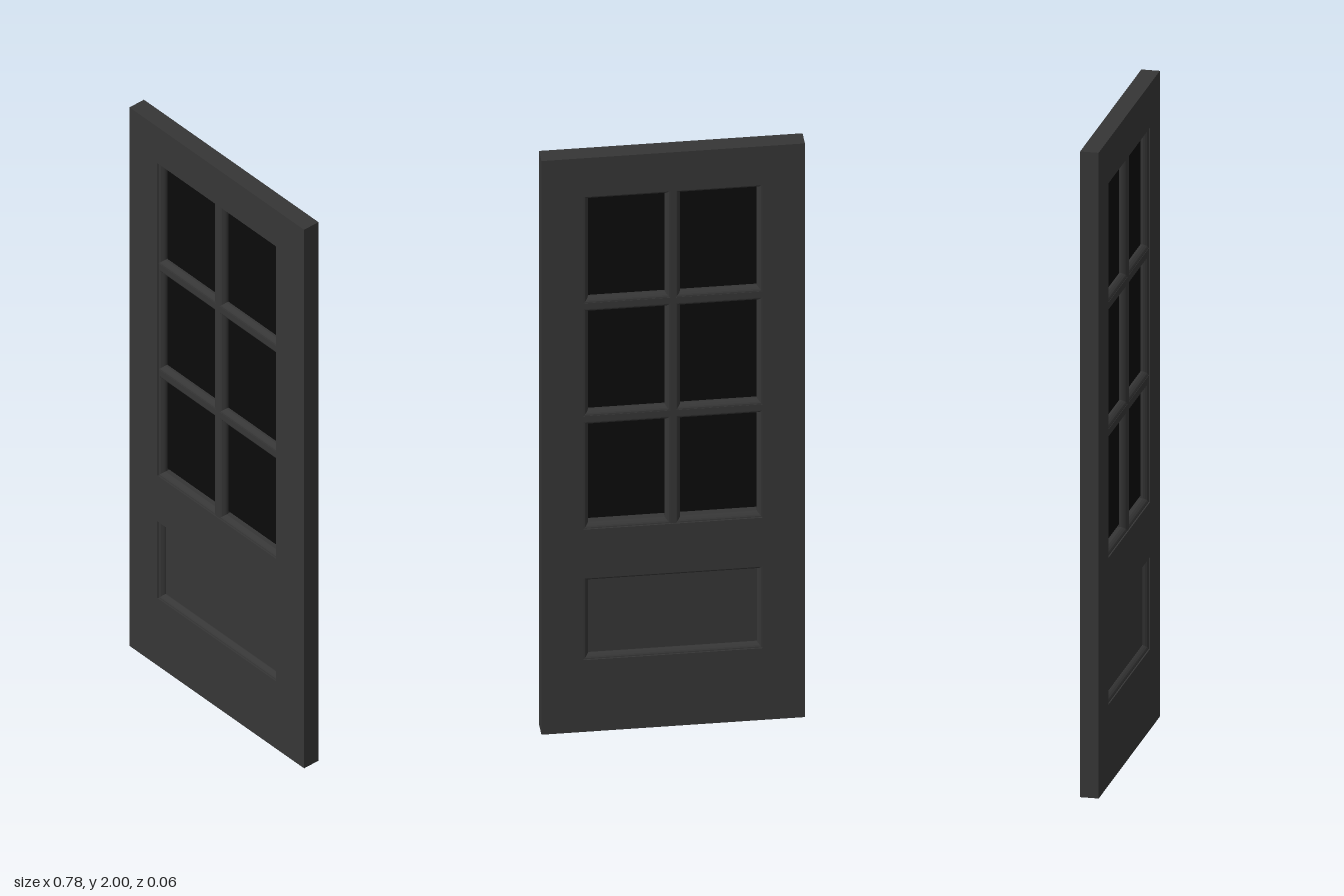
import * as THREE from 'three';

const HALF = 0.028; // half the door thickness

export function createModel() {
  const door = new THREE.Group();
  door.name = 'door';
  const paint = new THREE.MeshStandardMaterial({ color: 0x363636 });
  const dark = new THREE.MeshStandardMaterial({ color: 0x0a0a0a });

  // box given by its edges in x and y and its half depth
  const slab = (name, x0, x1, y0, y1, half = HALF, material = paint) => {
    const mesh = new THREE.Mesh(new THREE.BoxGeometry(x1 - x0, y1 - y0, half * 2), material);
    mesh.position.set((x0 + x1) / 2, (y0 + y1) / 2, 0);
    mesh.name = name;
    door.add(mesh);
  };

  // mitred moulding lining an opening: [inset, z] profile swept round a rectangle
  const profile = [[0, 0.024], [0.004, 0.0235], [0.008, 0.021], [0.012, 0.016], [0.015, 0.01]];
  const section = [...profile, ...profile.map(([i, z]) => [i, -z]).reverse()];
  const moulding = (name, x0, x1, y0, y1) => {
    const corners = ([i, z]) => [
      [x0 + i, y0 + i, z], [x1 - i, y0 + i, z], [x1 - i, y1 - i, z], [x0 + i, y1 - i, z],
    ];
    const positions = [];
    for (let s = 0; s < section.length - 1; s++) {
      const a = corners(section[s]);
      const b = corners(section[s + 1]);
      for (let k = 0; k < 4; k++) {
        const n = (k + 1) % 4;
        positions.push(...a[k], ...a[n], ...b[n], ...a[k], ...b[n], ...b[k]);
      }
    }
    const geometry = new THREE.BufferGeometry();
    geometry.setAttribute('position', new THREE.Float32BufferAttribute(positions, 3));
    geometry.computeVertexNormals();
    const mesh = new THREE.Mesh(geometry, paint);
    mesh.name = name;
    door.add(mesh);
  };

  // stiles and rails
  const inner = 0.265;
  slab('rightStile', -0.39, -inner, 0, 2);
  slab('leftStile', inner, 0.39, 0, 2);
  slab('bottomRail', -inner, inner, 0, 0.25);
  slab('lockRail', -inner, inner, 0.705, 0.535 + 0.0);
  door.children.pop();
  slab('lockRail', -inner, inner, 0.535, 0.705);
  slab('topRail', -inner, inner, 1.865, 2);

  // glazing bars and the moulding round each pane
  const low = 0.705, high = 1.865, bar = 0.02, halfBar = 0.008;
  const paneHeight = (high - low - 2 * bar) / 3;
  slab('verticalBar', -halfBar, halfBar, low, high, 0.025);
  for (let row = 0; row < 3; row++) {
    const y0 = low + row * (paneHeight + bar);
    const y1 = y0 + paneHeight;
    for (const [x0, x1] of [[-inner, -halfBar], [halfBar, inner]]) {
      moulding('paneMoulding', x0, x1, y0, y1);
      if (row < 2) slab('horizontalBar', x0, x1, y1, y1 + bar, 0.025);
    }
  }

  // glass sheet, stopping just short of the lowest moulding
  slab('glass', -inner + 0.005, inner - 0.005, 0.729, high - 0.005, 0.003, dark);

  // recessed lower panel
  moulding('panelMoulding', -inner, inner, 0.25, 0.535);
  slab('lowerPanel', -inner + 0.005, inner - 0.005, 0.255, 0.53, 0.008);

  return door;
}
